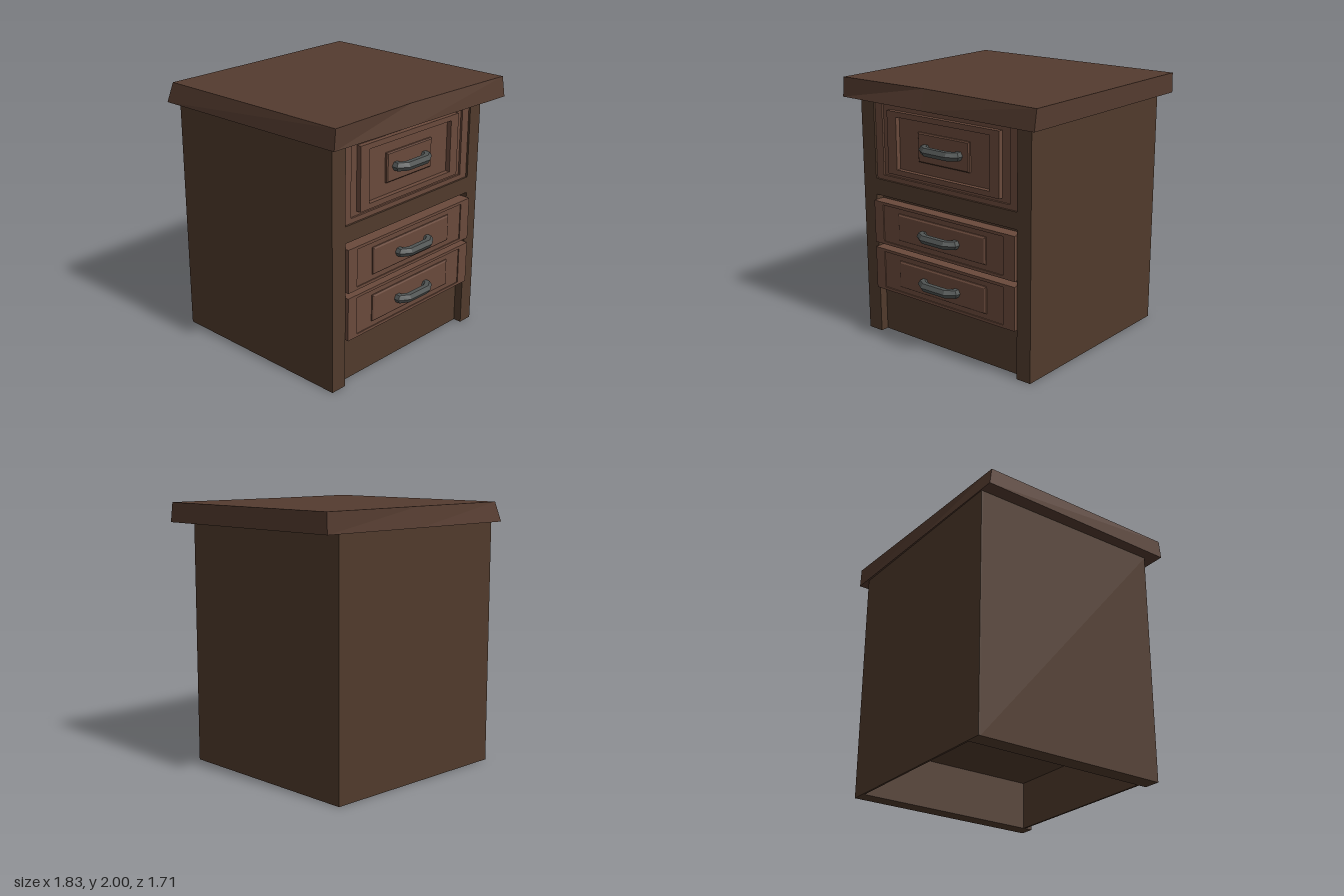
import * as THREE from 'three';

const mat = (color) => new THREE.MeshStandardMaterial({ color });
const wood = mat(0x503a2c);
const topWood = mat(0x543b2f);
const drawerWood = mat(0x69493b);
const metal = mat(0x505453);
metal.side = THREE.DoubleSide;

function add(parent, name, geometry, material) {
  const mesh = new THREE.Mesh(geometry, material);
  mesh.name = name;
  parent.add(mesh);
  return mesh;
}

// Box given by its limits on each axis
function box(parent, name, x0, x1, y0, y1, z0, z1, material = wood) {
  const mesh = add(parent, name, new THREE.BoxGeometry(x1 - x0, y1 - y0, z1 - z0), material);
  mesh.position.set((x0 + x1) / 2, (y0 + y1) / 2, (z0 + z1) / 2);
}

const rect = (C, [x0, x1, y0, y1], inset = 0) => new C([
  new THREE.Vector2(x0 + inset, y0 + inset), new THREE.Vector2(x1 - inset, y0 + inset),
  new THREE.Vector2(x1 - inset, y1 - inset), new THREE.Vector2(x0 + inset, y1 - inset),
]);

// Rectangular moulding with a rectangular hole
function frame(parent, name, outer, inner, z0, z1) {
  const shape = rect(THREE.Shape, outer);
  shape.holes.push(rect(THREE.Path, inner));
  const geo = new THREE.ExtrudeGeometry(shape, { depth: z1 - z0, bevelEnabled: false });
  add(parent, name, geo.translate(0, 0, z0), drawerWood);
}

// Raised panel with chamfered edges
function raisedPanel(parent, name, r, z0, z1, bevel = 0.012) {
  const geo = new THREE.ExtrudeGeometry(rect(THREE.Shape, r, bevel), {
    depth: z1 - z0 - 0.008, bevelSize: bevel, bevelThickness: 0.008, bevelSegments: 1,
  });
  add(parent, name, geo.translate(0, 0, z0), drawerWood);
}

// Hexagonal bow handle: mitred rings swept along a bent path
function handle(parent, y, z) {
  const half = [[-0.155, -0.01, -1, 0], [-0.155, 0.028, -1, 0.4], [-0.1, 0.06, -0.3, 1]];
  const path = [...half, ...half.map(([x, d, nx, nz]) => [-x, d, -nx, nz]).reverse()];
  const r = 0.035, pos = [], index = [];
  path.forEach(([x, d, nx, nz], i) => {
    for (let k = 0; k < 6; k++) {
      const c = r * Math.cos(k * Math.PI / 3), s = r * Math.sin(k * Math.PI / 3);
      pos.push(x + nx * c, s, d + nz * c);
      if (i === path.length - 1) continue;
      const a = i * 6 + k, b = i * 6 + (k + 1) % 6;
      index.push(a, b, a + 6, b, b + 6, a + 6);
    }
  });
  let geo = new THREE.BufferGeometry();
  geo.setAttribute('position', new THREE.Float32BufferAttribute(pos, 3));
  geo.setIndex(index);
  geo = geo.toNonIndexed();
  geo.computeVertexNormals();
  add(parent, 'handle', geo, metal).position.set(-0.01, y, z);
}

// Slightly crooked slab between two outlines of [x, z] points
function slab(lower, upper, y0, y1) {
  const pos = [], n = lower.length;
  const lo = (i) => [lower[i % n][0], y0, lower[i % n][1]];
  const up = (i) => [upper[i % n][0], y1, upper[i % n][1]];
  for (let i = 0; i < n; i++) {
    pos.push(...lo(i), ...lo(i + 1), ...up(i + 1), ...lo(i), ...up(i + 1), ...up(i));
  }
  // Caps, wound to face outwards
  const cap = (outline, at, wantUp) => {
    const pts = outline.map(([x, z]) => new THREE.Vector2(x, z));
    for (const [a, b, c] of THREE.ShapeUtils.triangulateShape(pts, [])) {
      const [p, q, s] = [pts[a], pts[b], pts[c]];
      const facesUp = (q.x - p.x) * (s.y - p.y) - (q.y - p.y) * (s.x - p.x) < 0;
      const order = facesUp === wantUp ? [a, b, c] : [a, c, b];
      order.forEach((i) => pos.push(...at(i)));
    }
  };
  cap(upper, up, true);
  cap(lower, lo, false);
  const geo = new THREE.BufferGeometry();
  geo.setAttribute('position', new THREE.Float32BufferAttribute(pos, 3));
  geo.computeVertexNormals();
  return geo;
}

export function createModel() {
  const model = new THREE.Group();
  model.name = 'nightstand';
  const L = -0.68, R = 0.67;

  // Carcass, open underneath
  const carcass = new THREE.Group();
  carcass.name = 'carcass';
  model.add(carcass);
  box(carcass, 'backPanel', -0.81, 0.79, 0, 1.85, -0.84, -0.825);
  box(carcass, 'rightSide', -0.81, L, 0, 1.85, -0.825, 0.72);
  box(carcass, 'leftSide', R, 0.79, 0, 1.85, -0.825, 0.72);
  box(carcass, 'innerBody', L, R, 0.38, 1.85, -0.825, 0.655);
  box(carcass, 'toeBoard', L, R, 0, 0.38, 0.64, 0.655);
  box(carcass, 'frontRail', L, R, 1.115, 1.24, 0.655, 0.72);

  // Crooked table top, outlines run from the front right corner counterclockwise
  add(model, 'tableTop', slab(
    [[-0.895, 0.82], [-0.1, 0.833], [0.91, 0.85], [0.91, -0.855], [0, -0.852], [-0.92, -0.848]],
    [[-0.88, 0.82], [-0.1, 0.79], [0.91, 0.825], [0.91, -0.85], [0, -0.828], [-0.89, -0.81]],
    1.85, 2), topWood);

  // Tall top drawer with nested mouldings
  const top = new THREE.Group();
  top.name = 'topDrawer';
  model.add(top);
  const edge = [-0.61, 0.595, 1.275, 1.815];
  const ringOut = [-0.54, 0.52, 1.305, 1.78], ringIn = [-0.45, 0.435, 1.345, 1.74];
  box(top, 'drawerFront', L, R, 1.24, 1.85, 0.655, 0.69, drawerWood);
  frame(top, 'outerFrame', [L, R, 1.24, 1.85], edge, 0.69, 0.705);
  frame(top, 'moulding', ringOut, ringIn, 0.69, 0.727);
  raisedPanel(top, 'centrePanel', [-0.25, 0.235, 1.435, 1.655], 0.69, 0.712, 0.008);
  handle(top, 1.545, 0.715);

  // Two low drawers standing proud of the carcass
  for (const y of [0.375, 0.745]) {
    const drawer = new THREE.Group();
    drawer.name = 'lowDrawer';
    model.add(drawer);
    box(drawer, 'drawerFront', L, R, y, y + 0.33, 0.655, 0.74, drawerWood);
    frame(drawer, 'outerFrame', [L, R, y, y + 0.33], [-0.59, 0.57, y + 0.022, y + 0.308], 0.74, 0.748);
    raisedPanel(drawer, 'centrePanel', [-0.43, 0.415, y + 0.063, y + 0.27], 0.735, 0.757);
    handle(drawer, y + 0.16, 0.757);
  }
  return model;
}
